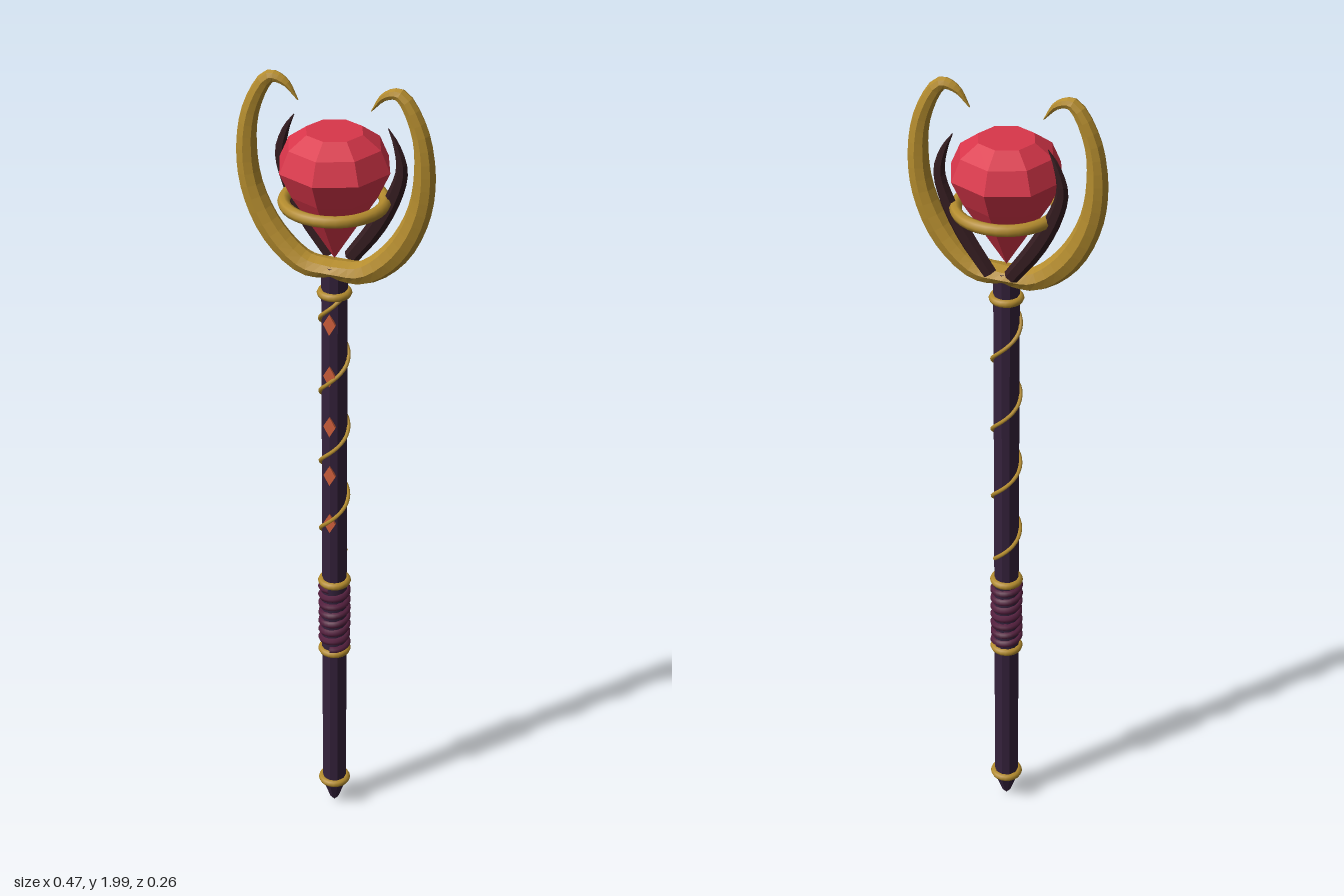
import * as THREE from 'three';

const mat = (name, color) => new THREE.MeshStandardMaterial({ name, color });
const V2 = (x, y) => new THREE.Vector2(x, y);

// Faceted copy of a geometry: every face gets its own normal
function facet(geo) {
  const g = geo.index ? geo.toNonIndexed() : geo;
  g.computeVertexNormals();
  return g;
}

// Tapered horn swept along a planar curve; stations are [x, y, radius in plane, radius in z]
function horn(stations, sides, steps) {
  const path = new THREE.CatmullRomCurve3(stations.map(s => new THREE.Vector3(s[0], s[1], 0)));
  const size = new THREE.CatmullRomCurve3(stations.map(s => new THREE.Vector3(s[2], s[3], 0)));
  const pos = [], idx = [];
  for (let i = 0; i <= steps; i++) {
    const p = path.getPoint(i / steps), t = path.getTangent(i / steps), r = size.getPoint(i / steps);
    for (let j = 0; j < sides; j++) {
      const a = (j / sides) * Math.PI * 2, c = Math.cos(a) * r.x;
      pos.push(p.x - t.y * c, p.y + t.x * c, Math.sin(a) * r.y);
      if (i === steps) continue;
      const k = (j + 1) % sides, b = i * sides, n = b + sides;
      idx.push(b + j, b + k, n + j, b + k, n + k, n + j);
    }
  }
  for (let j = 1; j < sides - 1; j++) idx.push(0, j + 1, j);
  const g = new THREE.BufferGeometry();
  g.setAttribute('position', new THREE.Float32BufferAttribute(pos, 3));
  g.setIndex(idx);
  return facet(g);
}

// Tube winding up around the shaft
function helix(radius, y0, y1, turns, startAngle, thickness) {
  const pts = [], n = Math.ceil(turns * 12);
  for (let i = 0; i <= n; i++) {
    const a = startAngle + (i / n) * turns * Math.PI * 2;
    pts.push(new THREE.Vector3(Math.sin(a) * radius, y0 + (y1 - y0) * i / n, Math.cos(a) * radius));
  }
  return new THREE.TubeGeometry(new THREE.CatmullRomCurve3(pts), n * 2, thickness, 6);
}

export function createModel() {
  const group = new THREE.Group();
  group.name = 'staff';
  const gold = mat('gold', 0xb48c2e);
  const wood = mat('dark purple wood', 0x35223c);
  const leather = mat('plum leather', 0x55203f);
  const thornMat = mat('dark thorn', 0x341c20);
  const ruby = mat('ruby', 0xd9364a);
  const ember = mat('ember orange', 0xd2603c);

  const add = (name, geo, material, x = 0, y = 0, z = 0) => {
    const m = new THREE.Mesh(geo, material);
    m.name = name;
    m.position.set(x, y, z);
    group.add(m);
    return m;
  };

  // Shaft with pointed foot
  add('shaft', facet(new THREE.LatheGeometry(
    [V2(0, 0.005), V2(0.012, 0.02), V2(0.028, 0.065), V2(0.03, 0.08), V2(0.03, 1.56), V2(0, 1.56)], 10)), wood);

  // Gold collars
  for (const y of [0.082, 0.497, 0.702, 1.49]) {
    const collar = add('collar', new THREE.TorusGeometry(0.031, 0.0095, 8, 20), gold, 0, y);
    collar.rotation.x = Math.PI / 2;
  }

  // Wrapped grip
  add('gripCore', new THREE.CylinderGeometry(0.032, 0.032, 0.2, 12), wood, 0, 0.6);
  add('gripWrap', helix(0.031, 0.51, 0.69, 7, 0, 0.0095), leather);

  // Wire vine around the upper shaft
  add('vine', helix(0.033, 0.775, 1.485, 3.74, -0.61 * Math.PI * 2, 0.005), gold);

  // Diamond inlays on the front
  const diamond = new THREE.Shape([V2(0, -0.027), V2(0.015, 0), V2(0, 0.027), V2(-0.015, 0)]);
  const diamondGeo = new THREE.ExtrudeGeometry(diamond, { depth: 0.006, bevelEnabled: false });
  for (let i = 0; i < 5; i++) add('inlay', diamondGeo, ember, 0, 0.885 + i * 0.134, 0.027);

  // Faceted gem
  add('gem', facet(new THREE.LatheGeometry(
    [V2(0, 1.575), V2(0.102, 1.74), V2(0.13, 1.8), V2(0.108, 1.85), V2(0.066, 1.88), V2(0, 1.88)], 8)), ruby);

  // Ring around the gem
  const ring = add('gemRing', new THREE.TorusGeometry(0.112, 0.014, 8, 32), gold, 0, 1.715);
  ring.rotation.x = Math.PI / 2;

  // Curved claws and the thorns behind them, one of each per side
  const claw = horn([
    [0, 1.55, 0.02, 0.036], [0.07, 1.552, 0.028, 0.03], [0.145, 1.613, 0.031, 0.027],
    [0.195, 1.71, 0.028, 0.025], [0.209, 1.81, 0.025, 0.024], [0.194, 1.91, 0.02, 0.02],
    [0.15, 1.983, 0.015, 0.015], [0.115, 1.975, 0.009, 0.01], [0.085, 1.938, 0.001, 0.002]], 8, 28);
  const thorn = horn([
    [0.025, 1.565, 0.018, 0.016], [0.085, 1.65, 0.021, 0.014], [0.128, 1.735, 0.018, 0.013],
    [0.143, 1.795, 0.014, 0.012], [0.13, 1.85, 0.008, 0.008], [0.11, 1.888, 0.001, 0.001]], 6, 14);
  for (const [side, turn] of [['left', 0], ['right', Math.PI]]) {
    add(side + 'Claw', claw, gold).rotation.y = turn;
    add(side + 'Thorn', thorn, thornMat, 0, 0, -0.037).rotation.y = turn;
  }
  return group;
}
